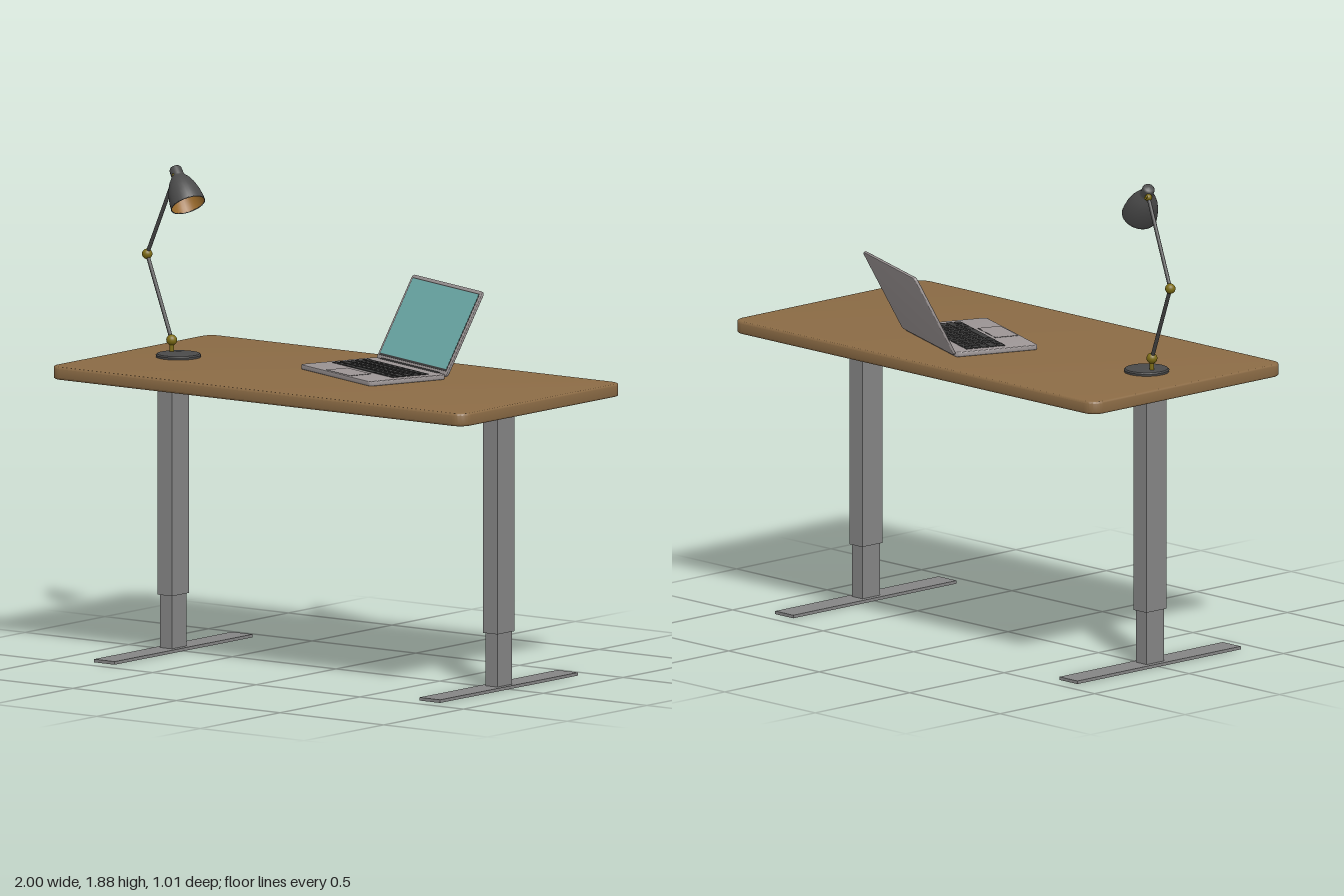
import * as THREE from 'three';
import { mergeGeometries, toCreasedNormals } from 'three/addons/utils/BufferGeometryUtils.js';

const mat = (color, side = THREE.FrontSide) =>
  new THREE.MeshStandardMaterial({ color, side });
const wood = mat(0x8b6b45), steel = mat(0x858585), darkSteel = mat(0x6a6d70);
const silver = mat(0x9c9595), black = mat(0x3c3c3c), screenGlass = mat(0x6fb0ae);
const lampGrey = mat(0x4a4a4a), brass = mat(0x7d6c14);
const shadeInside = mat(0x9a6a2a, THREE.DoubleSide);

function add(parent, name, geometry, material, x = 0, y = 0, z = 0) {
  const mesh = new THREE.Mesh(geometry, material);
  mesh.name = name;
  mesh.position.set(x, y, z);
  parent.add(mesh);
  return mesh;
}

const box = (w, h, d) => new THREE.BoxGeometry(w, h, d);

// Rounded slab centred in its outline; depth runs from 0 to t along z
function slab(w, h, t, r, bevel) {
  const x = w / 2 - bevel, y = h / 2 - bevel, s = new THREE.Shape();
  s.absarc(x - r, y - r, r, 0, Math.PI / 2);
  s.absarc(r - x, y - r, r, Math.PI / 2, Math.PI);
  s.absarc(r - x, r - y, r, Math.PI, Math.PI * 1.5);
  s.absarc(x - r, r - y, r, Math.PI * 1.5, Math.PI * 2);
  s.closePath();
  const g = new THREE.ExtrudeGeometry(s, {
    depth: t - 2 * bevel, curveSegments: 8, bevelEnabled: bevel > 0,
    bevelSize: bevel, bevelThickness: bevel, bevelSegments: 3,
  });
  g.translate(0, 0, bevel);
  return toCreasedNormals(g, 0.6);
}
const flatSlab = (...args) => slab(...args).rotateX(-Math.PI / 2);

// Cylinder between two points
function rod(parent, name, a, b, r, material) {
  const dir = b.clone().sub(a);
  const mesh = add(parent, name, new THREE.CylinderGeometry(r, r, dir.length(), 12), material);
  mesh.position.copy(a).add(b).multiplyScalar(0.5);
  mesh.quaternion.setFromUnitVectors(new THREE.Vector3(0, 1, 0), dir.normalize());
  return mesh;
}

function createDesk() {
  const desk = new THREE.Group();
  desk.name = 'desk';
  add(desk, 'tabletop', flatSlab(2, 1.01, 0.05, 0.045, 0.008), wood, 0, 1.09, 0);
  add(desk, 'crossbar', box(1.5, 0.012, 0.08), darkSteel, 0, 1.084, 0);

  // Support arm tapering to both ends
  const outline = new THREE.Shape([
    [-0.012, -0.33], [0.012, -0.33], [0.045, -0.05], [0.045, 0.05],
    [0.012, 0.33], [-0.012, 0.33], [-0.045, 0.05], [-0.045, -0.05],
  ].map(([x, y]) => new THREE.Vector2(x, y)));
  const arm = new THREE.ExtrudeGeometry(outline, { depth: 0.012, bevelEnabled: false });
  arm.rotateX(-Math.PI / 2);

  for (const side of [-1, 1]) {
    const leg = new THREE.Group();
    leg.name = side > 0 ? 'leftLeg' : 'rightLeg';
    leg.position.x = side * 0.785;
    add(leg, 'foot', box(0.1, 0.012, 0.865), steel, 0, 0.006, 0);
    add(leg, 'lowerColumn', box(0.058, 0.25, 0.092), steel, 0, 0.13, 0);
    add(leg, 'upperColumn', box(0.07, 0.87, 0.106), steel, 0, 0.652, 0);
    add(leg, 'supportArm', arm, darkSteel, 0, 1.079, 0);
    desk.add(leg);
  }
  return desk;
}

function createLaptop() {
  const laptop = new THREE.Group();
  laptop.name = 'laptop';
  laptop.position.set(0.112, 1.14, -0.087);
  laptop.rotation.y = -0.367;
  add(laptop, 'base', flatSlab(0.514, 0.34, 0.019, 0.012, 0.003), silver);

  // Five rows of keys, the front one holding the space bar
  const keys = [], pitch = 0.0335, left = -0.2245, total = 0.449;
  const key = (x, w, row) => keys.push(
    box(w - 0.006, 0.004, pitch - 0.007).translate(x + w / 2, 0.02, -0.1 + row * pitch));
  const rows = [
    Array(14).fill(1),
    [1.5, ...Array(12).fill(1), 1.5],
    [1.8, ...Array(11).fill(1), 1.8],
    [2.3, ...Array(10).fill(1), 2.3],
    [1, 1, 1, 1.3, 5, 1.3, 1, 1, 1],
  ];
  rows.forEach((row, i) => {
    const unit = total / row.reduce((a, b) => a + b, 0);
    let x = left;
    for (const w of row) {
      key(x, w * unit, i);
      x += w * unit;
    }
  });
  add(laptop, 'keys', mergeGeometries(keys), black);

  // Trackpad plate with a thin dark surround
  add(laptop, 'trackpadGap', box(0.178, 0.001, 0.097), black, 0.008, 0.0192, 0.114);
  add(laptop, 'trackpad', box(0.174, 0.002, 0.093), silver, 0.008, 0.0193, 0.114);

  // Lid leaning back on its hinge
  const hinge = new THREE.CylinderGeometry(0.007, 0.007, 0.42, 12).rotateZ(Math.PI / 2);
  add(laptop, 'hinge', hinge, black, 0, 0.016, -0.166);
  const lid = new THREE.Group();
  lid.name = 'lid';
  lid.position.set(0, 0.012, -0.168);
  lid.rotation.x = -0.485;
  add(lid, 'lidShell', slab(0.514, 0.356, 0.012, 0.012, 0.003), silver, 0, 0.178, -0.012);
  add(lid, 'screenBorder', box(0.49, 0.325, 0.001), black, 0, 0.182, 0.0002);
  add(lid, 'screen', box(0.483, 0.313, 0.002), screenGlass, 0, 0.184, 0.0003);
  laptop.add(lid);
  return laptop;
}

function createLamp() {
  const lamp = new THREE.Group();
  lamp.name = 'lamp';
  const V = (x, y, z) => new THREE.Vector3(x, y, z);
  const lathe = (pts) => new THREE.LatheGeometry(pts.map(([x, y]) => new THREE.Vector2(x, y)), 32);

  const basePlate = lathe([[0, 0], [0.086, 0], [0.087, 0.008], [0.082, 0.013], [0.03, 0.017], [0, 0.017]]);
  add(lamp, 'lampBase', toCreasedNormals(basePlate, 0.6), lampGrey, -0.745, 1.14, 0.02);

  // Jointed arm
  const foot = V(-0.785, 1.15, 0.01), low = V(-0.785, 1.2, 0.01);
  const elbow = V(-0.952, 1.51, -0.053), top = V(-0.782, 1.832, -0.006);
  rod(lamp, 'lampStem', foot, low, 0.009, brass);
  rod(lamp, 'lowerArm', low, elbow, 0.0075, lampGrey);
  rod(lamp, 'upperArm', elbow, top, 0.0075, lampGrey);
  for (const [name, p, r] of [['baseJoint', low, 0.021], ['elbowJoint', elbow, 0.02], ['headJoint', top, 0.014]])
    add(lamp, name, new THREE.SphereGeometry(r, 20, 14), brass, p.x, p.y, p.z);

  // Bell shade; its local -y axis points at the opening
  const head = new THREE.Group();
  head.name = 'lampHead';
  head.position.set(-0.768, 1.86, 0.008);
  const axis = V(0.09, -0.125, 0.037).normalize();
  head.quaternion.setFromUnitVectors(V(0, -1, 0), axis);
  const outer = [[0.068, -0.156], [0.067, -0.135], [0.062, -0.105], [0.053, -0.075],
    [0.041, -0.05], [0.029, -0.034], [0.025, -0.026], [0.024, 0.002], [0.018, 0.01], [0, 0.012]];
  add(head, 'shade', lathe(outer), lampGrey);
  const inner = outer.slice(0, 6).map(([x, y]) => [x - 0.002, y]);
  add(head, 'shadeLining', lathe([...inner, [0, -0.034]]), shadeInside);
  add(head, 'shadeRim', new THREE.TorusGeometry(0.067, 0.0018, 8, 32).rotateX(Math.PI / 2), lampGrey, 0, -0.156, 0);
  add(head, 'bulb', new THREE.SphereGeometry(0.026, 20, 14), shadeInside, 0, -0.085, 0);
  lamp.add(head);

  // Pivot pin through the neck of the shade
  rod(lamp, 'pivotPin', V(-0.79, 1.834, -0.03), V(-0.755, 1.845, 0.04), 0.005, brass);
  return lamp;
}

export function createModel() {
  const model = new THREE.Group();
  model.name = 'deskWithLaptopAndLamp';
  model.add(createDesk(), createLaptop(), createLamp());
  return model;
}
